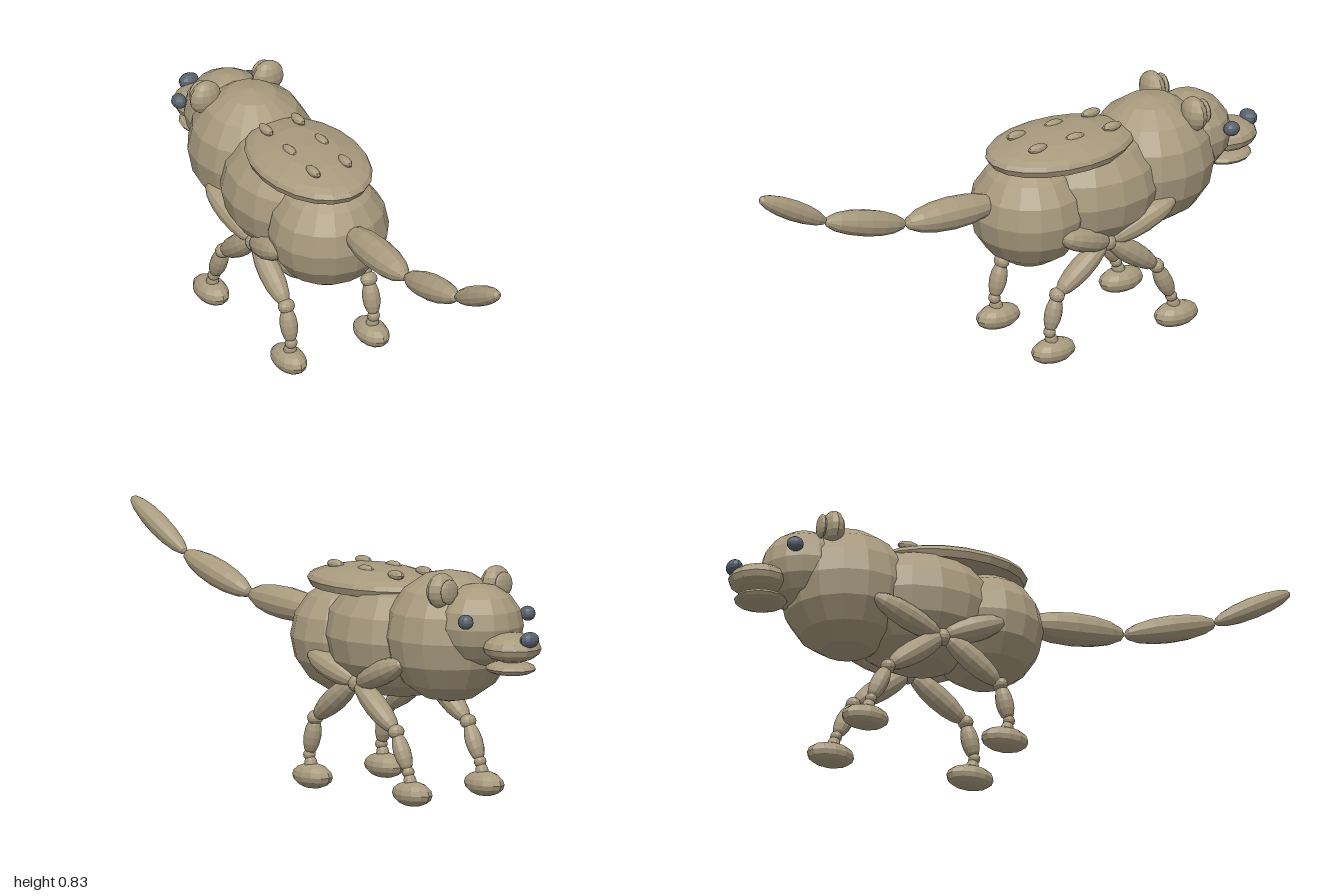
import * as THREE from 'three';

export function createModel() {
  const model = new THREE.Group();
  model.name = 'animal';

  const fur = new THREE.MeshStandardMaterial({ color: 0xa89a7e, flatShading: true });
  fur.name = 'tan fur';
  const dark = new THREE.MeshStandardMaterial({ color: 0x56606c, flatShading: true });
  dark.name = 'slate';

  // Faceted ellipsoid with an upright pole
  const blob = (name, pos, radii, mat = fur, w = 16, h = 8, parent = model) => {
    const mesh = new THREE.Mesh(new THREE.SphereGeometry(1, w, h).scale(...radii), mat);
    mesh.name = name;
    mesh.position.set(...pos);
    parent.add(mesh);
    return mesh;
  };

  // Spindle stretched between two points
  const up = new THREE.Vector3(0, 1, 0);
  const spindle = (name, a, b, r, parent = model) => {
    const p = new THREE.Vector3(...a), q = new THREE.Vector3(...b);
    const dir = q.clone().sub(p);
    const mid = p.clone().add(q).multiplyScalar(0.5);
    const mesh = blob(name, mid.toArray(), [r, dir.length() / 2, r], fur, 12, 8, parent);
    mesh.quaternion.setFromUnitVectors(up, dir.normalize());
    return mesh;
  };

  // Body
  blob('rump', [0, 0.5, -0.085], [0.205, 0.195, 0.195]);
  blob('belly', [0, 0.53, -0.32], [0.228, 0.21, 0.27]);
  blob('chest', [0, 0.557, -0.575], [0.212, 0.222, 0.222]);

  // Flat oval back plate with bumps
  const profile = [[0, 0.67], [0.95, 0.672], [1, 0.695], [0.96, 0.71],
    [0.85, 0.722], [0.5, 0.743], [0, 0.75]].map(p => new THREE.Vector2(...p));
  const plate = new THREE.Mesh(new THREE.LatheGeometry(profile, 20).scale(0.187, 1, 0.272), fur);
  plate.name = 'backPlate';
  plate.position.z = -0.212;
  model.add(plate);
  for (const z of [-0.08, -0.23, -0.38])
    for (const x of [-0.062, 0.062])
      blob('backBump', [x, 0.742, z], [0.017, 0.016, 0.038], fur, 10, 6);

  // Head
  blob('head', [0, 0.612, -0.725], [0.147, 0.14, 0.148]);
  blob('muzzle', [0, 0.555, -0.885], [0.095, 0.05, 0.105], fur, 14, 8);
  blob('lowerJaw', [0, 0.485, -0.88], [0.08, 0.024, 0.09], fur, 14, 8);
  blob('nose', [0, 0.59, -0.973], [0.036, 0.027, 0.027], dark, 12, 8);
  for (const s of [-1, 1]) {
    blob('eye', [s * 0.138, 0.645, -0.81], [0.025, 0.025, 0.029], dark, 12, 8);
    blob('ear', [s * 0.121, 0.732, -0.67], [0.058, 0.059, 0.038], fur, 12, 8);
    blob('innerEar', [s * 0.121, 0.732, -0.71], [0.038, 0.042, 0.014], fur, 12, 8);
  }

  // Legs: [thigh tip, knee, ankle, foot] as [z, y]
  const legs = {
    hindLeg: [[-0.085, 0.46], [-0.09, 0.24], [-0.06, 0.112], [-0.075, 0.042]],
    frontLeg: [[-0.55, 0.48], [-0.49, 0.24], [-0.55, 0.112], [-0.57, 0.042]],
  };
  for (const s of [-1, 1]) {
    const x = s * 0.16;
    blob('hipJoint', [x, 0.38, -0.295], [0.03, 0.03, 0.03], fur, 12, 8);
    for (const [name, [tip, knee, ankle, foot]] of Object.entries(legs)) {
      const leg = new THREE.Group();
      leg.name = name;
      model.add(leg);
      spindle('shoulder', [s * 0.185, tip[1], tip[0]], [s * 0.16, 0.38, -0.3], 0.043, leg);
      spindle('thigh', [x, 0.39, -0.29], [x, knee[1], knee[0]], 0.04, leg);
      blob('knee', [x, knee[1], knee[0]], [0.03, 0.025, 0.025], fur, 12, 8, leg);
      spindle('shin', [x, knee[1], knee[0]], [x, ankle[1], ankle[0]], 0.03, leg);
      blob('ankle', [x, ankle[1], ankle[0]], [0.022, 0.02, 0.02], fur, 12, 8, leg);
      spindle('pastern', [x, ankle[1], ankle[0]], [x, 0.05, foot[0]], 0.022, leg);
      blob('foot', [x, foot[1], foot[0]], [0.052, 0.042, 0.083], fur, 12, 8, leg);
    }
  }

  // Tail in three tapering segments
  spindle('tailBase', [0, 0.555, 0.04], [0, 0.575, 0.412], 0.056);
  spindle('tailMiddle', [0, 0.575, 0.41], [0, 0.672, 0.735], 0.046);
  spindle('tailTip', [0, 0.672, 0.73], [0, 0.828, 1.0], 0.036);

  return model;
}
